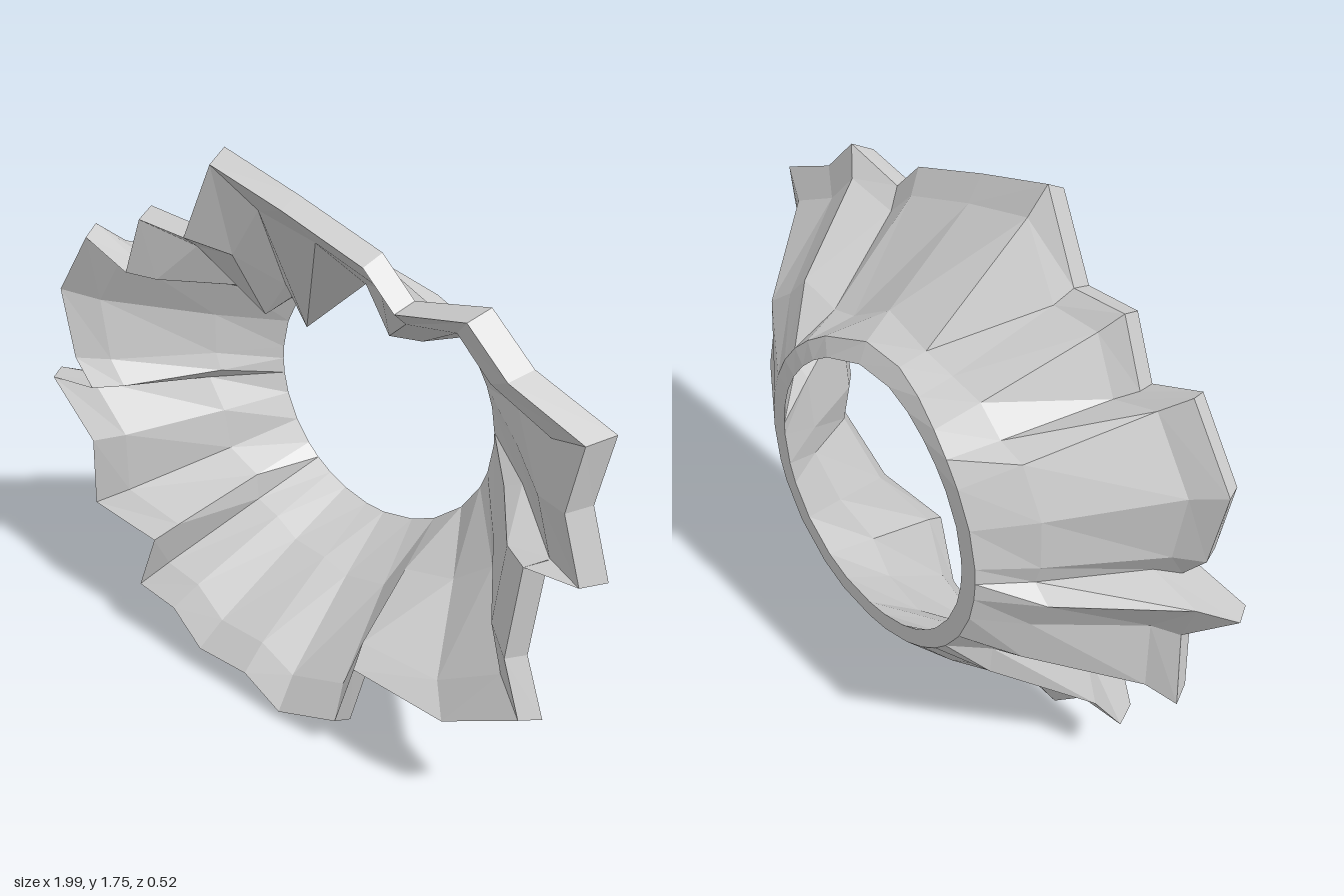
import * as THREE from 'three';

const CX = -0.06, CY = 0.9; // centre of the round opening

// Ragged rim, counter-clockwise: [x, y, angle of the fold where it meets the opening]
const rim = [
  [0.99, 0.975, 4], [0.93, 1.165, 15], [0.97, 1.365, 24], [0.745, 1.45, 34],
  [0.62, 1.565, 44], [0.40, 1.515, 53], [0.30, 1.61, 63], [0.03, 1.69, 83],
  [-0.22, 1.755, 101], [-0.335, 1.515, 114], [-0.515, 1.525, 126], [-0.59, 1.34, 136],
  [-0.76, 1.41, 146], [-0.91, 1.2, 160], [-0.87, 0.975, 174], [-0.8, 0.89, 180],
  [-1.0, 0.865, 187], [-0.825, 0.69, 197], [-0.845, 0.445, 210], [-0.56, 0.42, 222],
  [-0.655, 0.2, 230], [-0.495, 0.18, 239], [-0.38, 0.07, 249], [-0.175, 0.08, 262],
  [-0.03, 0, 272], [0.205, 0.1, 288], [0.275, 0.345, 301], [0.6, 0.33, 319],
  [0.85, 0.475, 335], [0.79, 0.655, 344], [0.825, 0.965, 358],
];

// Folds that hang into the opening, by rim index: [inner x, inner y, outer wall height]
const droop = {
  5: [0.2, 1.23, 0.15], 6: [0.085, 1.21, 0.05], 7: [0, 1.34, 0.17],
  8: [-0.22, 1.14, 0.03], 9: [-0.3, 1.25, 0.12], 10: [-0.385, 1.13, 0.2],
};

// Cross-section of the wall at one fold, as a closed loop of points
function section([x, y, deg], i) {
  const a = THREE.MathUtils.degToRad(deg);
  const c = Math.cos(a), s = Math.sin(a);
  const edge = new THREE.Vector3(x, y, 0);
  // Point between the opening (t = 0) and the rim (t = 1)
  const at = (r, t, z) => new THREE.Vector3(CX + r * c, CY + r * s, 0).lerp(edge, t).setZ(z);
  const lift = Math.max(0, s) ** 6;          // the back ring leans forward at the top
  const back = -0.253 - 0.012 * Math.max(0, c);
  const hang = droop[i];
  const right = Math.max(0, c);
  return [
    at(0.46, 1, 0.2),                                              // rim edge
    at(0.4, 0.935, 0.26),                                          // front lip
    hang ? at(0.4, 0.6, 0.12) : at(0.4, 0.74, 0.19),               // inner wall
    hang ? new THREE.Vector3(hang[0], hang[1], -0.1) : at(0.4, 0.28 + 0.07 * right, -0.07),
    at(0.4, 0, back + 0.02 * lift),                                // back ring
    at(0.455, 0, back + 0.05 * lift),
    at(0.46, hang ? hang[2] : 0.28 + 0.07 * right, -0.125 - 0.015 * right), // outer wall
    at(0.46, 0.8, 0.15),
  ];
}

// Skin the closed ring of cross-sections with flat facets
function createCollarGeometry() {
  const loops = rim.map(section);
  const pos = [];
  loops.forEach((A, i) => {
    const B = loops[(i + 1) % loops.length];
    for (let k = 0; k < A.length; k++) {
      const m = (k + 1) % A.length;
      for (const p of [A[k], B[k], B[m], A[k], B[m], A[m]]) pos.push(p.x, p.y, p.z);
    }
  });
  const geo = new THREE.BufferGeometry();
  geo.setAttribute('position', new THREE.Float32BufferAttribute(pos, 3));
  geo.computeVertexNormals();
  return geo;
}

export function createModel() {
  const group = new THREE.Group();
  group.name = 'raggedCollar';
  const material = new THREE.MeshStandardMaterial({ color: 0xcccccc, flatShading: true });
  const collar = new THREE.Mesh(createCollarGeometry(), material);
  collar.name = 'foldedCollar';
  group.add(collar);
  return group;
}
